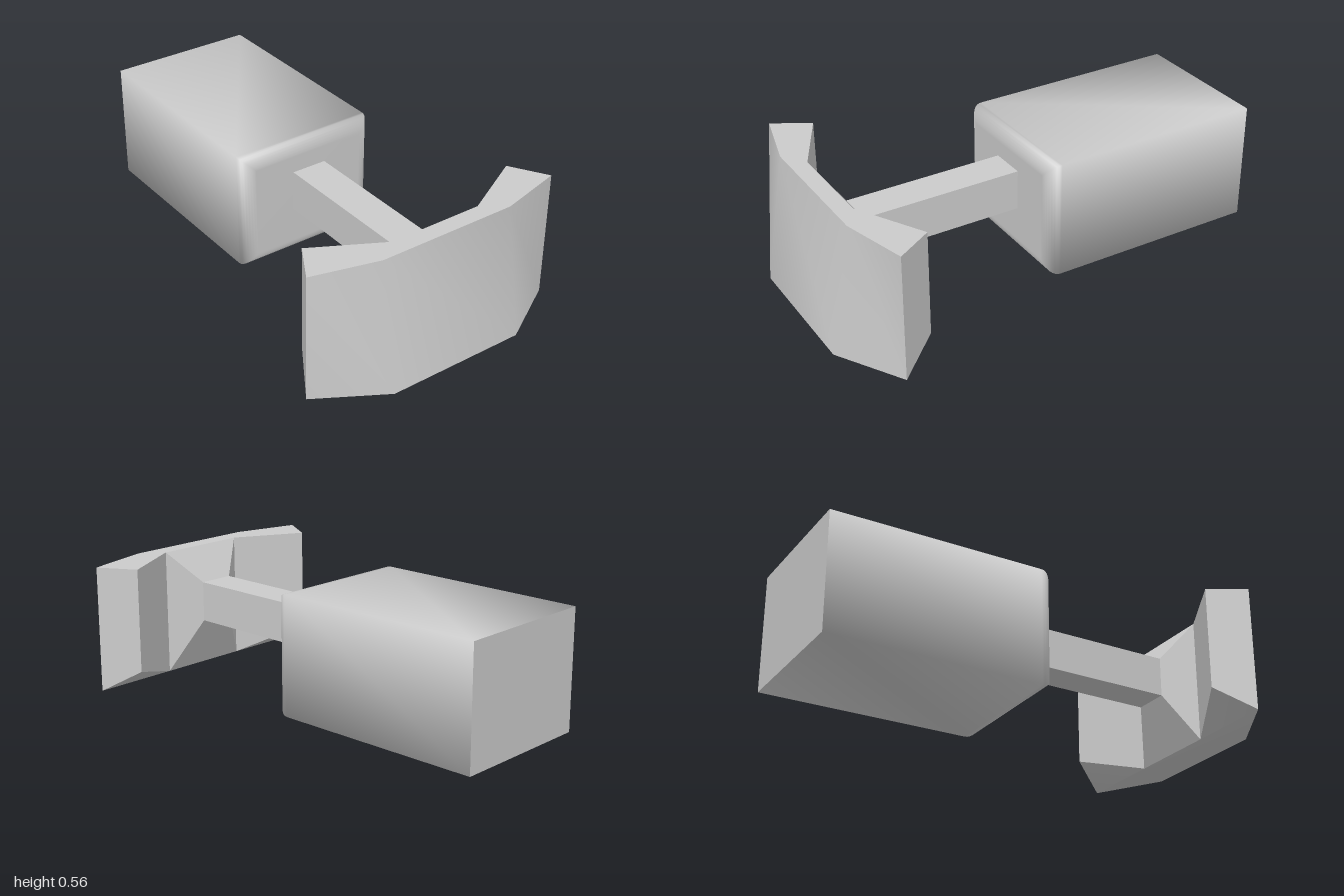
import * as THREE from 'three';
import { toCreasedNormals } from 'three/addons/utils/BufferGeometryUtils.js';

const material = new THREE.MeshStandardMaterial({ color: 0xcccccc });

function add(group, name, geometry) {
  const mesh = new THREE.Mesh(geometry, material);
  mesh.name = name;
  group.add(mesh);
}

function indexed(points, faces) {
  const g = new THREE.BufferGeometry();
  g.setAttribute('position', new THREE.Float32BufferAttribute(points.flat(), 3));
  g.setIndex(faces.flat());
  g.computeVertexNormals();
  return g;
}

// Rectangular section, counter-clockwise seen from +z
const rect = (hw, y0, y1, z) => [[-hw, y0, z], [hw, y0, z], [hw, y1, z], [-hw, y1, z]];

// Skin over rectangular sections ordered towards +z
function loft(rings, capFront) {
  const faces = [];
  for (let r = 0; r < rings.length - 1; r++) {
    for (let i = 0; i < 4; i++) {
      const a = r * 4 + i, b = r * 4 + (i + 1) % 4;
      faces.push([a, b, b + 4, a, b + 4, a + 4]);
    }
  }
  const f = (rings.length - 1) * 4;
  if (capFront) faces.push([f, f + 1, f + 2, f, f + 2, f + 3]);
  return indexed(rings.flat(), faces);
}

// Bent striking plate: [x, bottom y, bottom z, top z] round the outline
function plateGeometry() {
  const half = [[0.6, 0, 0.83, 0.83], [0.31, 0, 1, 0.905]];
  const rear = [[0.21, 0, 0.83, 0.83], [0.505, 0.1, 0.67, 0.67]];
  const mirror = list => list.map(([x, ...rest]) => [-x, ...rest]).reverse();
  const outline = [...half, ...mirror(half), ...mirror(rear), ...rear];
  const n = outline.length;
  const points = [
    ...outline.map(([x, y, z]) => [x, y, z]),
    ...outline.map(([x, , , z]) => [x, 0.56, z]),
  ];
  const faces = [];
  for (let a = 0; a < n; a++) {
    if (a === 5) continue; // the neck closes this opening
    const b = (a + 1) % n;
    faces.push([a, a + n, b + n, a, b + n, b]);
  }
  const caps = [[0, 1, 2], [0, 2, 3], [0, 3, 5], [0, 5, 6], [3, 4, 5], [6, 7, 0]];
  for (const [a, b, c] of caps) faces.push([a, b, c], [c + n, b + n, a + n]);
  return toCreasedNormals(indexed(points, faces).toNonIndexed(), 0.65);
}

export function createModel() {
  const group = new THREE.Group();

  add(group, 'bentPlate', plateGeometry());

  // Neck flaring from the rod into the plate
  const neck = loft([rect(0.08, 0.235, 0.415, 0.73), rect(0.21, 0, 0.56, 0.83)]).toNonIndexed();
  neck.computeVertexNormals();
  add(group, 'flaredNeck', neck);

  const rod = new THREE.BoxGeometry(0.16, 0.18, 0.74);
  rod.translate(0, 0.325, 0.37);
  add(group, 'rod', rod);

  // Softly shaded block with a filleted front rim
  const r = 0.06, rings = [rect(0.325, 0.02, 0.545, -1)];
  for (let i = 0; i <= 8; i++) {
    const t = (i / 8) * Math.PI / 2, inset = r * (1 - Math.cos(t));
    rings.push(rect(0.325 - inset, 0.02 + inset, 0.545 - inset, 0.015 - r + r * Math.sin(t)));
  }
  add(group, 'block', loft(rings, true));

  // Flat rear face of the block
  const back = new THREE.PlaneGeometry(0.65, 0.525);
  back.rotateY(Math.PI);
  back.translate(0, 0.2825, -1);
  add(group, 'blockBack', back);

  return group;
}
